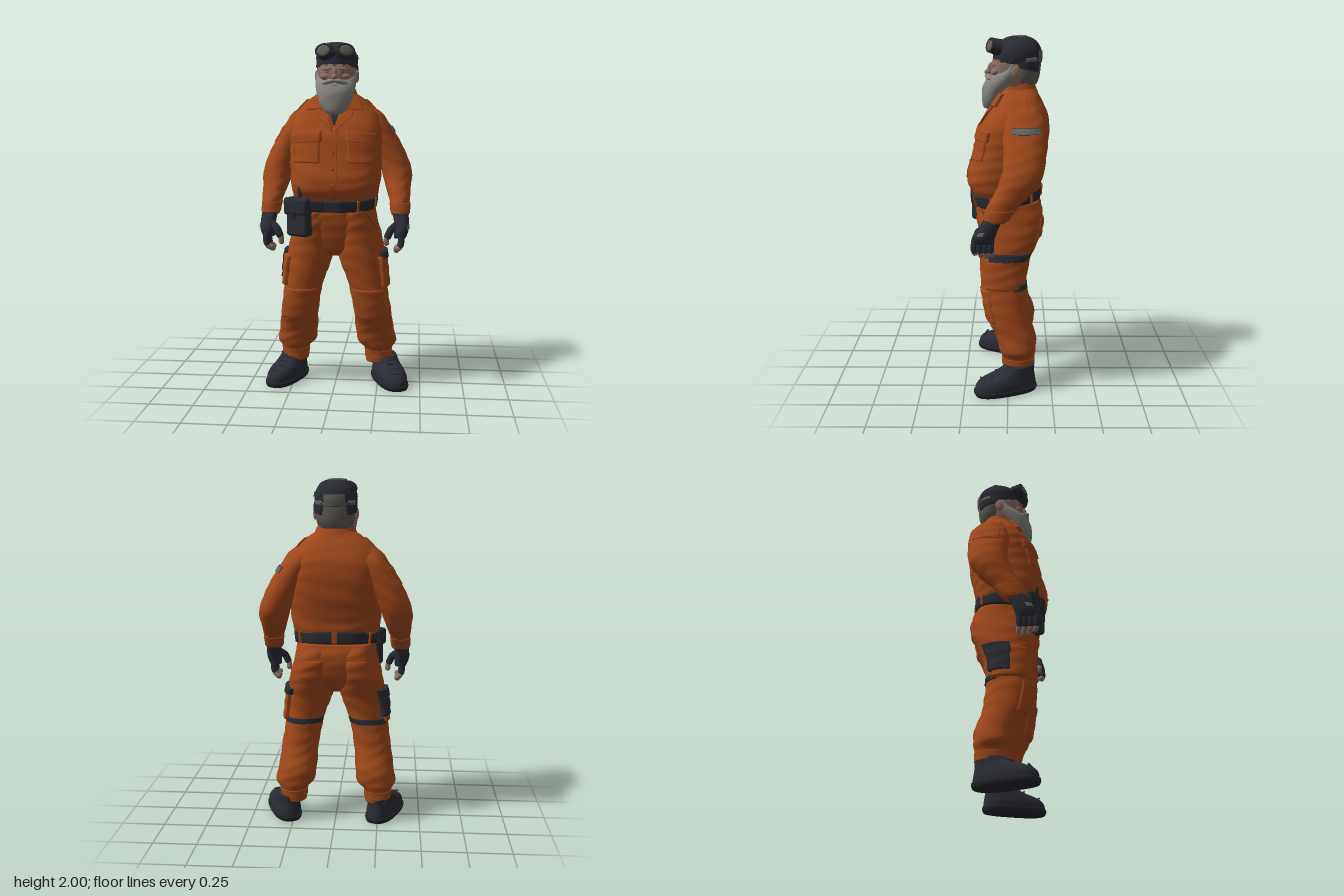
import * as THREE from 'three';
import { RoundedBoxGeometry } from 'three/addons/geometries/RoundedBoxGeometry.js';

const mat = (name, color) => new THREE.MeshStandardMaterial({ name, color, side: THREE.DoubleSide });
const M = {
  cloth: mat('orange cloth', 0xa0481b), dark: mat('dark gear', 0x2a2c34), sole: mat('black rubber', 0x23242a),
  skin: mat('skin', 0x8b6e64), beard: mat('grey beard', 0x84827e), hair: mat('grey hair', 0x5d5a53),
  lens: mat('lens', 0x625d55), patch: mat('grey patch', 0x5f6866), seam: mat('dark seam', 0x6e3010),
};
const rad = Math.PI / 180;

// Smooth surface through rings [y, x, z, rx, rz]; n is the superellipse power, w the wrinkle depth
function surf(rings, n = 2, w = 0) {
  const c = new THREE.CatmullRomCurve3(rings.map(r => new THREE.Vector3(r[1], r[0], r[2])), false, 'catmullrom');
  const s = new THREE.CatmullRomCurve3(rings.map(r => new THREE.Vector3(r[3], r[4], 0)), false, 'catmullrom');
  const pw = v => Math.sign(v) * Math.abs(v) ** (2 / n);
  const at = (t, th, off = 0) => {
    const p = c.getPoint(t), q = s.getPoint(t);
    const k = 1 + w * (Math.sin(p.y * 75 + 2.5 * Math.sin(2 * th + p.y * 9)) + 0.6 * Math.sin(p.y * 31 - 3 * th));
    return new THREE.Vector3(p.x + (Math.max(q.x, 0.001) * k + off) * pw(Math.cos(th)), p.y,
      p.z + (Math.max(q.y, 0.001) * k + off) * pw(Math.sin(th)));
  };
  const tOf = y => {
    let a = 0, b = 1;
    for (let i = 0; i < 24; i++) { const m = (a + b) / 2; c.getPoint(m).y < y ? a = m : b = m; }
    return a;
  };
  // Angle on the front half that lies at a given x
  const thOf = (x, t) => {
    const v = (x - c.getPoint(t).x) / s.getPoint(t).x;
    return Math.acos(Math.sign(v) * Math.min(1, Math.abs(v)) ** (n / 2));
  };
  return { at, tOf, thOf };
}

function geometry(pos, idx) {
  const g = new THREE.BufferGeometry();
  g.setAttribute('position', new THREE.Float32BufferAttribute(pos, 3));
  g.setIndex(idx);
  g.computeVertexNormals();
  return g;
}

function add(parent, name, geo, m, p = [0, 0, 0], r = [0, 0, 0], sc = [1, 1, 1]) {
  const o = new THREE.Mesh(geo, m);
  o.name = name;
  o.position.set(...p); o.rotation.set(...r); o.scale.set(...sc);
  parent.add(o);
  return o;
}

function loft(parent, name, S, m, rows = 40, seg = 48, caps = true) {
  const pos = [], idx = [];
  for (let i = 0; i <= rows; i++) for (let j = 0; j < seg; j++) pos.push(...S.at(i / rows, j / seg * 2 * Math.PI).toArray());
  for (let i = 0; i < rows; i++) for (let j = 0; j < seg; j++) {
    const a = i * seg + j, b = i * seg + (j + 1) % seg;
    idx.push(a, a + seg, b, b, a + seg, b + seg);
  }
  if (caps) for (const i of [0, rows]) {
    const mid = S.at(i / rows, 0).add(S.at(i / rows, Math.PI)).multiplyScalar(0.5), k = pos.length / 3;
    pos.push(...mid.toArray());
    for (let j = 0; j < seg; j++) {
      const a = i * seg + j, b = i * seg + (j + 1) % seg;
      i ? idx.push(a, k, b) : idx.push(a, b, k);
    }
  }
  return add(parent, name, geometry(pos, idx), m);
}

// Raised cloth plate on a surface; corners are [x, y] on the front, or [degrees, y] when byAngle is set
function panel(parent, name, S, m, q, off, byAngle = false) {
  const e = [0, 0.025, ...Array.from({ length: 11 }, (_, i) => 0.08 + i * 0.084), 0.975, 1], N = e.length, pos = [], idx = [];
  for (const v of e) for (const u of e) {
    const mix = k => (q[0][k] * (1 - u) + q[1][k] * u) * (1 - v) + (q[3][k] * (1 - u) + q[2][k] * u) * v;
    const t = S.tOf(mix(1)), rim = u === 0 || u === 1 || v === 0 || v === 1;
    pos.push(...S.at(t, byAngle ? mix(0) * rad : S.thOf(mix(0), t), rim ? -0.004 : off).toArray());
  }
  for (let i = 0; i < N - 1; i++) for (let j = 0; j < N - 1; j++) {
    const a = i * N + j;
    idx.push(a, a + N, a + 1, a + 1, a + N, a + N + 1);
  }
  return add(parent, name, geometry(pos, idx), m);
}
const rect = (a, b, y0, y1) => [[a, y0], [b, y0], [b, y1], [a, y1]];

function limb(parent, name, pts, r, m) {
  const c = new THREE.CatmullRomCurve3(pts.map(p => new THREE.Vector3(...p)));
  add(parent, name, new THREE.TubeGeometry(c, 10, r, 10), m);
  for (const p of [pts[0], pts[pts.length - 1]]) add(parent, name + 'End', new THREE.SphereGeometry(r, 10, 8), m, p);
}

function buildTorso(g) {
  const T = surf([[1.07, 0, 0.01, 0.225, 0.172], [1.12, 0, 0.013, 0.238, 0.19], [1.17, 0, 0.021, 0.253, 0.208], [1.24, 0, 0.016, 0.26, 0.213],
    [1.36, 0, -0.014, 0.264, 0.209], [1.48, 0, -0.034, 0.266, 0.2], [1.57, 0, -0.054, 0.25, 0.168],
    [1.65, 0, -0.06, 0.185, 0.125], [1.7, 0, -0.055, 0.122, 0.1], [1.72, 0, -0.055, 0.09, 0.085]], 2.75, 0.007);
  loft(g, 'jacket', T, M.cloth, 70, 72);
  panel(g, 'undershirt', T, M.dark, [[-0.004, 1.53], [0.004, 1.53], [0.045, 1.66], [-0.045, 1.66]], 0.005);
  panel(g, 'placket', T, M.cloth, rect(-0.022, 0.022, 1.1, 1.52), 0.005);
  for (const y of [1.2, 1.29, 1.38]) {
    const t = T.tOf(y);
    add(g, 'button', new THREE.SphereGeometry(0.009, 10, 8), M.cloth, T.at(t, Math.PI / 2, 0.006).toArray(), [0, 0, 0], [1, 1, 0.5]);
  }
  for (const s of [1, -1]) {
    panel(g, 'lapel', T, M.cloth, [[0.004 * s, 1.49], [0.1 * s, 1.585], [0.1 * s, 1.64], [0.045 * s, 1.655]], 0.012);
    panel(g, 'collarFlap', T, M.cloth, [[0.05 * s, 1.62], [0.155 * s, 1.615], [0.12 * s, 1.685], [0.055 * s, 1.69]], 0.018);
    panel(g, 'chestPocket', T, M.cloth, rect(0.075 * s, 0.225 * s, 1.32, 1.45), 0.007);
    panel(g, 'pocketFlap', T, M.cloth, [[0.065 * s, 1.44], [0.235 * s, 1.43], [0.235 * s, 1.485], [0.065 * s, 1.5]], 0.014);
    const u = a => s > 0 ? a : 180 - a;
    panel(g, 'shoulderStrap', T, M.cloth, rect(u(-12), u(8), 1.585, 1.675), 0.014, true);
  }
  // Stand-up collar, higher at the back
  const C = surf([[-0.045, 0, 0, 0.14, 0.115], [0, 0, 0, 0.122, 0.112], [0.035, 0, 0, 0.11, 0.112]]);
  const collar = loft(g, 'collar', C, M.cloth, 8, 48, false);
  collar.position.set(0, 1.69, -0.045); collar.rotation.x = 0.32;
  // Belt with buckle and loops, higher at the back
  const W = new THREE.Group();
  W.name = 'beltGroup'; W.position.set(0, 1.1, 0.008); W.rotation.x = 0.12;
  const B = surf([[-0.034, 0, 0, 0.238, 0.192], [0, 0, 0, 0.243, 0.199], [0.034, 0, 0, 0.245, 0.203]], 2.5);
  loft(W, 'belt', B, M.dark, 6, 64);
  add(W, 'buckle', new RoundedBoxGeometry(0.085, 0.06, 0.02, 2, 0.006), M.dark, [0, 0, 0.2]);
  for (const a of [20, 60, 125, 160, -40, -90, -140]) panel(W, 'beltLoop', B, M.cloth, rect(a - 1.7, a + 1.7, -0.033, 0.033), 0.008, true);
  g.add(W);
  // Hip pouch
  const P = new THREE.Group();
  P.name = 'hipPouch'; P.position.set(-0.2, 1.01, 0.155); P.rotation.set(0, -0.5, 0);
  add(P, 'pouchBody', new RoundedBoxGeometry(0.145, 0.21, 0.08, 3, 0.022), M.dark, [0.006, -0.004, 0]);
  add(P, 'pouchFlap', new RoundedBoxGeometry(0.162, 0.1, 0.09, 3, 0.02), M.dark, [0, 0.063, 0.002]);
  add(P, 'pouchClasp', new RoundedBoxGeometry(0.03, 0.04, 0.01, 1, 0.004), M.sole, [0, 0.015, 0.049]);
  add(P, 'pouchTool', new THREE.CylinderGeometry(0.013, 0.013, 0.09, 10), M.dark, [0.02, 0.13, 0.015]);
  g.add(P);
}

function buildArm(g, s) {
  const u = a => s > 0 ? a : 180 - a;
  const A = surf([[1.02, 0.375, 0.07, 0.05, 0.062], [1.1, 0.37, 0.03, 0.058, 0.085], [1.17, 0.36, -0.025, 0.073, 0.1],
    [1.26, 0.348, -0.075, 0.089, 0.112], [1.36, 0.309, -0.09, 0.094, 0.115], [1.46, 0.256, -0.09, 0.094, 0.118], [1.54, 0.208, -0.087, 0.092, 0.117],
    [1.6, 0.17, -0.078, 0.085, 0.093], [1.645, 0.13, -0.07, 0.05, 0.05]].map(r => [r[0], r[1] * s, ...r.slice(2)]), 2.1, 0.013);
  loft(g, 'sleeve', A, M.cloth, 56, 44);
  panel(g, 'sleeveCuff', A, M.cloth, rect(u(-175), u(185), 1.03, 1.09), 0.005, true);
  if (s > 0) {
    panel(g, 'armPatchBorder', A, M.dark, rect(-48, 35, 1.487, 1.521), 0.004, true);
    panel(g, 'armPatch', A, M.patch, rect(-47, 34, 1.489, 1.519), 0.007, true);
  } else panel(g, 'armPatch', A, M.cloth, rect(u(-45), u(35), 1.42, 1.52), 0.004, true);
  // Fingerless glove and hand
  const H = surf([[0.9, 0.375, 0.135, 0.034, 0.055], [0.94, 0.382, 0.13, 0.042, 0.063], [0.99, 0.382, 0.105, 0.043, 0.056],
    [1.03, 0.376, 0.08, 0.045, 0.052], [1.05, 0.375, 0.07, 0.042, 0.048]].map(r => [r[0], r[1] * s, ...r.slice(2)]), 2.3);
  loft(g, 'glove', H, M.dark, 16, 28);
  panel(g, 'gloveBackPanel', H, M.patch, rect(u(5), u(40), 0.95, 0.972), 0.004, true);
  for (let i = 0; i < 4; i++) {
    const z = 0.09 + i * 0.03, low = [0.815, 0.805, 0.81, 0.825][i];
    limb(g, 'gloveFinger', [[0.38 * s, 0.92, z], [0.385 * s, 0.89, z + 0.004], [0.38 * s, 0.862, z + 0.004]], 0.0185, M.dark);
    limb(g, 'fingertip', [[0.38 * s, 0.865, z + 0.004], [0.372 * s, 0.845, z + 0.002], [0.356 * s, low + 0.016, z - 0.004]], 0.0155, M.skin);
  }
  limb(g, 'gloveThumb', [[0.36 * s, 0.975, 0.14], [0.325 * s, 0.945, 0.165], [0.308 * s, 0.91, 0.17]], 0.021, M.dark);
  limb(g, 'thumbTip', [[0.308 * s, 0.912, 0.17], [0.3 * s, 0.89, 0.17], [0.299 * s, 0.87, 0.167]], 0.016, M.skin);
}

function buildLeg(g, s) {
  const u = a => s > 0 ? a : 180 - a;
  const L = surf([[0.12, 0.25, -0.06, 0.076, 0.088], [0.19, 0.25, -0.06, 0.08, 0.092], [0.24, 0.241, -0.055, 0.114, 0.106],
    [0.32, 0.228, -0.042, 0.113, 0.116], [0.42, 0.218, 0, 0.11, 0.122], [0.52, 0.203, 0.017, 0.11, 0.126], [0.62, 0.185, 0.025, 0.114, 0.13],
    [0.75, 0.155, 0.018, 0.132, 0.145], [0.88, 0.135, -0.008, 0.134, 0.176], [1, 0.115, -0.01, 0.122, 0.19], [1.08, 0.11, 0.003, 0.112, 0.17]]
    .map(r => [r[0], r[1] * s, ...r.slice(2)]), 2.15, 0.013);
  loft(g, 'trouserLeg', L, M.cloth, 80, 48);
  panel(g, 'ankleCuff', L, M.cloth, rect(u(-175), u(185), 0.14, 0.19), 0.005, true);
  panel(g, 'kneePatch', L, M.cloth, rect(u(35), u(140), 0.4, 0.59), 0.006, true);
  panel(g, 'hipPocketSeam', L, M.seam, [[u(25), 0.93], [u(26.5), 0.93], [u(56.5), 1.04], [u(55), 1.04]], 0.003, true);
  panel(g, 'backPocket', L, M.cloth, rect(u(-115), u(-60), 0.88, 0.99), 0.004, true);
  panel(g, 'thighStrap', L, M.dark, rect(u(-160), u(-25), 0.59, 0.622), 0.007, true);
  // The left thigh has a dark flap, the right thigh a dark pouch
  panel(g, 'cargoPocket', L, M.cloth, rect(u(-38), u(42), 0.6, 0.78), 0.018, true);
  panel(g, 'cargoFlap', L, M.dark, rect(u(-48), u(s > 0 ? 34 : 8), s > 0 ? 0.765 : 0.74, 0.805), 0.024, true);
  if (s < 0) panel(g, 'thighPouch', L, M.dark, rect(u(-45), u(5), 0.635, 0.755), 0.025, true);

  // Boot, toes turned out
  const b = new THREE.Group();
  b.name = 'boot'; b.position.set(0.306 * s + 0.013, 0, 0.013); b.rotation.y = 0.38 * s;
  const sole = surf([[0, 0, 0, 0.08, 0.18], [0.015, 0, 0, 0.086, 0.187], [0.03, 0, 0, 0.086, 0.187]], 2.6);
  loft(b, 'sole', sole, M.sole, 6, 40);
  const U = surf([[0.025, 0, 0, 0.083, 0.184], [0.06, 0, -0.002, 0.084, 0.178], [0.09, 0, -0.015, 0.077, 0.16],
    [0.115, 0, -0.05, 0.07, 0.122], [0.14, 0, -0.078, 0.068, 0.094], [0.155, 0, -0.083, 0.066, 0.086]], 2.3);
  loft(b, 'bootUpper', U, M.dark, 24, 40);
  for (let i = 0; i < 4; i++) {
    const p = U.at(U.tOf(0.092 + i * 0.016), Math.PI / 2, 0);
    add(b, 'lace', new THREE.CapsuleGeometry(0.005, 0.055, 3, 8), M.dark, p.toArray(), [0, 0, Math.PI / 2 + (i % 2 ? 0.15 : -0.15)]);
  }
  g.add(b);
}

function buildHead(g) {
  const ball = (name, m, p, sc, r) => add(g, name, new THREE.SphereGeometry(1, 24, 16), m, p, r, sc);
  loft(g, 'face', surf([[1.62, 0, -0.04, 0.075, 0.075], [1.7, 0, -0.04, 0.085, 0.09], [1.76, 0, -0.03, 0.1, 0.122],
    [1.815, 0, -0.038, 0.11, 0.138], [1.87, 0, -0.045, 0.112, 0.13], [1.93, 0, -0.05, 0.09, 0.11]], 2.1), M.skin, 30, 40);
  const N = surf([[1.73, 0, -0.085, 0.085, 0.075], [1.77, 0, -0.09, 0.105, 0.085], [1.83, 0, -0.09, 0.114, 0.093], [1.88, 0, -0.09, 0.112, 0.092]]);
  loft(g, 'backHair', N, M.hair, 14, 40);
  loft(g, 'beard', surf([[1.588, 0, 0.1, 0.015, 0.015], [1.6, 0, 0.1, 0.05, 0.04], [1.64, 0, 0.09, 0.083, 0.058], [1.7, 0, 0.068, 0.104, 0.08],
    [1.745, 0, 0.037, 0.114, 0.094], [1.778, 0, 0.007, 0.116, 0.093], [1.81, 0, -0.018, 0.116, 0.066], [1.85, 0, -0.025, 0.114, 0.04]], 2, 0.008), M.beard, 40, 48);
  ball('nose', M.skin, [0, 1.797, 0.112], [0.02, 0.017, 0.022]);
  ball('noseBridge', M.skin, [0, 1.822, 0.1], [0.013, 0.03, 0.016], [-0.3, 0, 0]);
  ball('lowerLip', M.skin, [0, 1.752, 0.121], [0.022, 0.005, 0.008]);
  for (const s of [1, -1]) {
    ball('moustache', M.beard, [0.034 * s, 1.77, 0.104], [0.046, 0.015, 0.024], [0, 0.4 * s, -0.25 * s]);
    ball('cheek', M.skin, [0.052 * s, 1.8, 0.071], [0.034, 0.02, 0.022]);
    ball('eye', M.seam, [0.042 * s, 1.826, 0.089], [0.013, 0.003, 0.004], [0, 0.3 * s, 0]);
    ball('eyebrow', M.skin, [0.045 * s, 1.842, 0.084], [0.03, 0.008, 0.012], [0, 0.35 * s, -0.1 * s]);
    ball('ear', M.skin, [0.116 * s, 1.805, -0.042], [0.012, 0.036, 0.024], [-0.2, 0, 0]);
    // Cap side reaching down behind the ear
    const u = a => s > 0 ? a : 180 - a;
    panel(g, 'capSide', N, M.dark, [[u(-52), 1.8], [u(25), 1.825], [u(25), 1.86], [u(-60), 1.86]], 0.007, true);
    // Goggle cup and lens
    const e = new THREE.Group();
    e.name = 'goggle'; e.position.set(0.054 * s, 1.938, 0.076); e.rotation.set(-0.28, 0.38 * s, 0); e.scale.set(1.15, 0.88, 0.9);
    add(e, 'goggleCup', new THREE.CylinderGeometry(0.043, 0.052, 0.06, 28), M.dark, [0, 0, 0], [Math.PI / 2, 0, 0]);
    add(e, 'goggleRim', new THREE.TorusGeometry(0.039, 0.007, 10, 28), M.dark, [0, 0, 0.03]);
    add(e, 'goggleLens', new THREE.SphereGeometry(0.036, 24, 12), M.lens, [0, 0, 0.03], [0, 0, 0], [1, 1, 0.28]);
    g.add(e);
  }
  add(g, 'goggleBridge', new RoundedBoxGeometry(0.04, 0.025, 0.04, 2, 0.008), M.dark, [0, 1.936, 0.093]);
  const K = surf([[1.848, 0, -0.05, 0.116, 0.134], [1.89, 0, -0.052, 0.12, 0.137], [1.93, 0, -0.054, 0.112, 0.128], [1.962, 0, -0.056, 0.093, 0.106],
    [1.983, 0, -0.058, 0.067, 0.077], [1.994, 0, -0.058, 0.036, 0.042], [1.997, 0, -0.058, 0.003, 0.004]]);
  loft(g, 'cap', K, M.dark, 36, 48);
  panel(g, 'capHem', K, M.dark, rect(-60, 240, 1.85, 1.868), 0.004, true);
  panel(g, 'goggleStrap', K, M.dark, rect(-58, 238, 1.9, 1.926), 0.005, true);
  panel(g, 'capBackOpening', K, M.hair, rect(-120, -60, 1.849, 1.915), 0.004, true);
  loft(g, 'crownPatch', surf([[1.985, -0.012, -0.072, 0.055, 0.034], [1.996, -0.01, -0.072, 0.048, 0.03], [2, -0.01, -0.07, 0.003, 0.002]]), M.hair, 8, 32);
}

export function createModel() {
  const g = new THREE.Group();
  g.name = 'workman';
  buildTorso(g);
  loft(g, 'trouserSeat', surf([[0.775, 0, 0.015, 0.06, 0.06], [0.81, 0, 0.01, 0.16, 0.115], [0.88, 0, -0.008, 0.225, 0.16],
    [1, 0, -0.008, 0.232, 0.188], [1.08, 0, 0.003, 0.228, 0.18]], 2.3, 0.006), M.cloth, 30, 56);
  for (const s of [1, -1]) { buildArm(g, s); buildLeg(g, s); }
  buildHead(g);
  return g;
}
